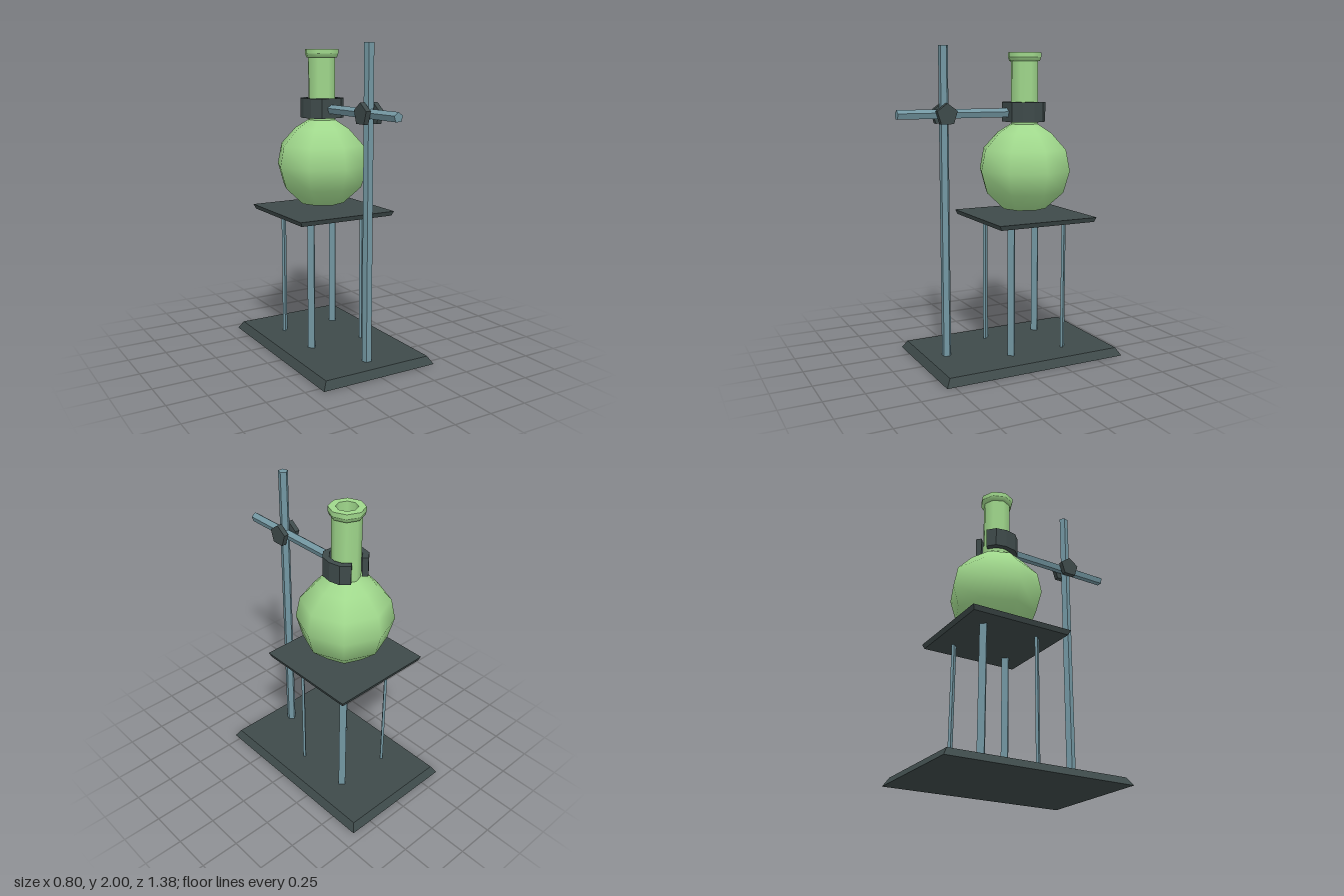
import * as THREE from 'three';

const material = (name, color) => {
  const m = new THREE.MeshStandardMaterial({ color });
  m.name = name;
  return m;
};

// Gives every face its own normal.
function faceted(geometry) {
  const g = geometry.index ? geometry.toNonIndexed() : geometry;
  g.computeVertexNormals();
  return g;
}

// Box whose top and bottom have different widths and depths.
function bevelledPlate(wBottom, dBottom, wTop, dTop, height) {
  const g = new THREE.BoxGeometry(1, height, 1);
  const p = g.attributes.position;
  for (let i = 0; i < p.count; i++) {
    const top = p.getY(i) > 0;
    p.setX(i, p.getX(i) * (top ? wTop : wBottom));
    p.setZ(i, p.getZ(i) * (top ? dTop : dBottom));
  }
  return faceted(g);
}

const rod = (radius, length) => faceted(new THREE.CylinderGeometry(radius, radius, length, 5));

const lathe = (points) =>
  new THREE.LatheGeometry(points.map(([r, y]) => new THREE.Vector2(r, y)), 8);

export function createModel() {
  const group = new THREE.Group();
  const iron = material('dark iron', 0x3e4a4a);
  const steel = material('blue steel', 0x7397a2);
  const glass = material('green glass', 0xa0d88c);

  const add = (name, geometry, mat, x = 0, y = 0, z = 0) => {
    const mesh = new THREE.Mesh(geometry, mat);
    mesh.name = name;
    mesh.position.set(x, y, z);
    group.add(mesh);
    return mesh;
  };

  const flaskZ = -0.17;

  // Base and raised shelf
  add('base', bevelledPlate(0.8, 1.24, 0.74, 1.18, 0.05), iron, 0, 0.025, -0.07);
  add('shelf', bevelledPlate(0.66, 0.66, 0.685, 0.685, 0.03), iron, 0, 0.915, flaskZ);

  // Flat legs, each facing outward along its diagonal
  for (const sx of [-1, 1]) {
    for (const sz of [-1, 1]) {
      const leg = add('shelfLeg', new THREE.BoxGeometry(0.044, 0.87, 0.017), steel,
        sx * 0.19, 0.475, flaskZ + sz * 0.19);
      leg.rotation.y = Math.atan2(sx, sz);
    }
  }

  // Upright pole and the arm across it
  const poleZ = 0.387;
  add('pole', rod(0.031, 1.96), steel, 0, 1.02, poleZ).rotation.y = Math.PI;
  add('clampArm', rod(0.031, 0.735), steel, 0, 1.586, 0.3225).rotation.x = -Math.PI / 2;

  // Knobs on both sides of the pole
  for (const side of [-1, 1]) {
    const knob = add('knob', faceted(new THREE.CylinderGeometry(0.07, 0.07, 0.032, 5).rotateX(-Math.PI / 2)),
      iron, side * 0.045, 1.585, poleZ);
    knob.rotation.y = Math.PI / 2;
    // One corner of the five points straight up
    knob.geometry.computeBoundingBox();
    if (knob.geometry.boundingBox.max.y < 0.069) knob.geometry.rotateZ(Math.PI);
  }

  // Open ring clamp: half outline mirrored, extruded upward
  const outer = [[0.07, -0.125], [0.12, -0.075], [0.135, 0], [0.12, 0.07], [0.07, 0.115]];
  const inner = [[0.042, 0.09], [0.085, 0.05], [0.1, 0], [0.085, -0.055], [0.045, -0.095]];
  const half = [...outer, ...inner];
  const mirrored = half.map(([x, y]) => [-x, y]).reverse();
  const outline = [...half, ...mirrored].map(([x, y]) => new THREE.Vector2(x, y));
  const ring = new THREE.ExtrudeGeometry(new THREE.Shape(outline), { depth: 0.125, bevelEnabled: false });
  ring.rotateX(-Math.PI / 2);
  add('neckClamp', faceted(ring), iron, 0, 1.53, flaskZ);

  // Flask: round body, neck, flared lip and hollow mouth
  const flask = (name, points) => add(name, lathe(points), glass, 0, 0, flaskZ);
  flask('flaskBottom', [[0, 0.97], [0.145, 0.97]]);
  flask('flaskBody', [[0.145, 0.97], [0.265, 1.08], [0.305, 1.22], [0.278, 1.355],
    [0.18, 1.46], [0.09, 1.515]]);
  flask('flaskNeck', [[0.09, 1.5], [0.09, 1.915]]);
  flask('lipUnderside', [[0.09, 1.91], [0.102, 1.912], [0.11, 1.935]]);
  flask('lipSide', [[0.11, 1.935], [0.11, 1.965]]);
  flask('lipTop', [[0.11, 1.965], [0.066, 1.965]]);
  flask('mouthWall', [[0.066, 1.965], [0.066, 1.8]]);
  flask('mouthFloor', [[0.066, 1.8], [0, 1.8]]);

  return group;
}
